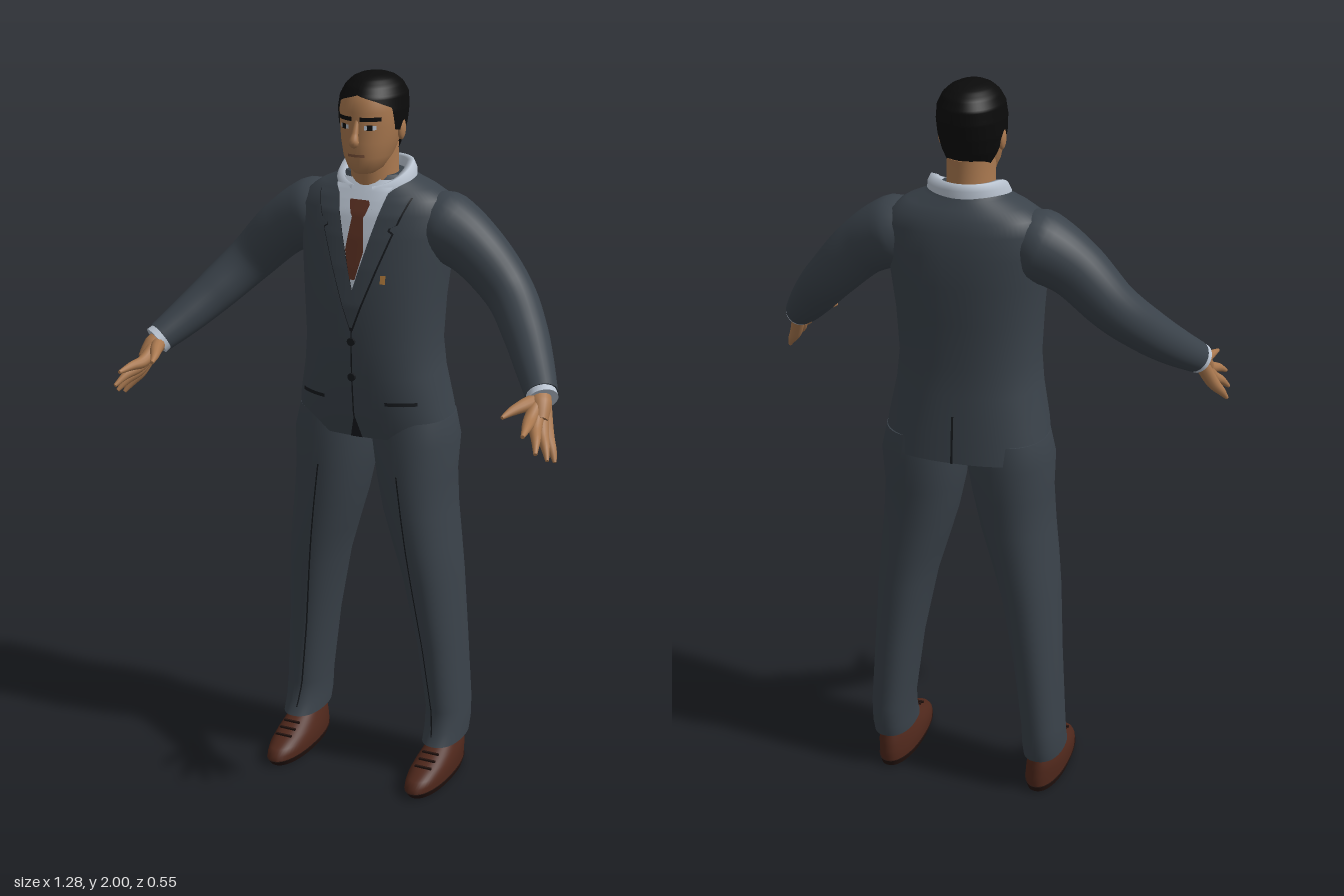
import * as THREE from 'three';

const mat = (name, color) => {
  const m = new THREE.MeshStandardMaterial({ color, side: THREE.DoubleSide });
  m.name = name;
  return m;
};

// Cross-section rows: [y, xCentre, halfWidth, zFront, zBack, roundness]
const TORSO = [
  [1.02, 0, .225, .01, -.272, 2.5], [1.1, 0, .214, .03, -.266, 2.5], [1.2, 0, .195, .04, -.257, 2.4],
  [1.28, 0, .187, .044, -.252, 2.4], [1.4, 0, .194, .042, -.256, 2.4], [1.5, 0, .205, .028, -.261, 2.4],
  [1.58, 0, .214, .012, -.26, 2.4], [1.64, 0, .216, -.004, -.252, 2.4], [1.675, 0, .2, -.02, -.243, 2.3],
  [1.7, 0, .16, -.032, -.228, 2.2], [1.72, 0, .115, -.042, -.215, 2], [1.735, 0, .095, -.05, -.207, 2]];
const HEAD = [
  [1.745, 0, .028, -.004, -.09, 2], [1.76, 0, .047, .011, -.11, 2], [1.79, 0, .062, .018, -.14, 2.1],
  [1.83, 0, .073, .019, -.165, 2.1], [1.87, 0, .08, .016, -.18, 2.1], [1.91, 0, .082, .017, -.19, 2.1],
  [1.945, 0, .078, .009, -.19, 2.1], [1.968, 0, .066, -.008, -.175, 2], [1.983, 0, .048, -.03, -.15, 2],
  [1.991, 0, .028, -.052, -.122, 2], [1.994, 0, .002, -.084, -.088, 2]];
const NECK = [[1.66, 0, .07, -.035, -.18, 2], [1.74, 0, .062, -.028, -.17, 2], [1.81, 0, .062, -.02, -.17, 2]];
const LEG = [
  [.105, .222, .055, -.016, -.215, 2.3], [.14, .222, .056, -.035, -.224, 2.3], [.2, .221, .057, -.046, -.228, 2.2],
  [.4, .202, .063, -.03, -.232, 2.2], [.6, .177, .077, -.004, -.235, 2.2], [.7, .158, .088, .005, -.237, 2.2],
  [.8, .138, .098, .01, -.24, 2.2], [.9, .124, .106, .012, -.246, 2.2], [1, .118, .117, .01, -.258, 2.2],
  [1.07, .112, .108, 0, -.25, 2.2]];
const SHOE = [
  [.014, .219, .053, .112, -.208, 2.2], [.032, .219, .054, .112, -.21, 2.2], [.048, .22, .053, .095, -.209, 2.2],
  [.064, .221, .05, .055, -.207, 2.2], [.08, .222, .045, .012, -.205, 2.2], [.1, .222, .037, -.038, -.2, 2.1]];
const SOLE = [[0, .219, .05, .1, -.204, 2.2], [.018, .219, .056, .116, -.212, 2.2]];
// Hairline: angle from the front at which the hair starts, by height
const HAIRLINE = [[1.785, 2.3], [1.82, 1.95], [1.85, 1.75], [1.862, 1.25], [1.92, 1.08], [1.94, .55], [1.952, 0]];

// Linear lookup in a table keyed by its first column
function sample(table, y) {
  if (y <= table[0][0]) return table[0];
  for (let i = 1; i < table.length; i++) {
    const a = table[i - 1], b = table[i];
    if (y <= b[0]) return a.map((v, k) => THREE.MathUtils.lerp(v, b[k], (y - a[0]) / (b[0] - a[0])));
  }
  return table[table.length - 1];
}

// Surface through rows of points; duplicated rows give sharp rims
function grid(rows, closed) {
  const n = rows[0].length, idx = [];
  for (let i = 0; i < rows.length - 1; i++)
    for (let j = 0; j < (closed ? n : n - 1); j++) {
      const k = (j + 1) % n, a = i * n + j, b = i * n + k;
      idx.push(a, b, b + n, a, b + n, a + n);
    }
  const g = new THREE.BufferGeometry();
  g.setAttribute('position', new THREE.Float32BufferAttribute(rows.flat(2), 3));
  g.setIndex(idx);
  g.computeVertexNormals();
  return g;
}

// Point at angle a (0 = front, rising towards +x) of a cross-section
function ringPoint([y, xc, w, zf, zb, n], a) {
  const p = v => Math.sign(v) * Math.abs(v) ** (2 / n);
  return [xc + w * p(Math.sin(a)), y, (zf + zb) / 2 + (zf - zb) / 2 * p(Math.cos(a))];
}

// Capped body made from cross-sections
function loft(table, seg = 64) {
  const rings = table.map(r => Array.from({ length: seg }, (_, j) => ringPoint(r, j / seg * Math.PI * 2)));
  const cap = r => Array(seg).fill([r[1], r[0], (r[3] + r[4]) / 2]);
  const last = rings.length - 1;
  return grid([cap(table[0]), rings[0], ...rings, rings[last], cap(table[last])], true);
}

// Thin plate lying on the front (side 1) or back (side -1) of a lofted body
function patch(table, y0, y1, left, right, off, side = 1, ny = 24, nx = 8) {
  const rows = [];
  for (let i = 0; i <= ny; i++) {
    const y = THREE.MathUtils.lerp(y0, y1, i / ny);
    const [, xc, w, zf, zb, n] = sample(table, y);
    rows.push(Array.from({ length: nx + 1 }, (_, j) => {
      const x = THREE.MathUtils.lerp(left(y), right(y), side > 0 ? j / nx : 1 - j / nx);
      const t = Math.min(1, Math.abs((x - xc) / w));
      return [x, y, (zf + zb) / 2 + side * ((zf - zb) / 2 * (1 - t ** n) ** (1 / n) + off)];
    }));
  }
  return grid(rows, false);
}

// Tapering limb along a smooth path, points [x, y, z, radius]
function limb(points, s, steps = 24, seg = 20) {
  const curve = new THREE.CatmullRomCurve3(points.map(p => new THREE.Vector3(p[0] * s, p[1], p[2])));
  const f = curve.computeFrenetFrames(steps), rows = [];
  for (let i = 0; i <= steps; i++) {
    const u = curve.getUtoTmapping(i / steps) * (points.length - 1);
    const k = Math.min(points.length - 2, Math.floor(u));
    const r = THREE.MathUtils.lerp(points[k][3], points[k + 1][3], u - k), c = curve.getPointAt(i / steps);
    rows.push(Array.from({ length: seg }, (_, j) => {
      const a = j / seg * Math.PI * 2;
      return c.clone().addScaledVector(f.normals[i], r * Math.cos(a)).addScaledVector(f.binormals[i], r * Math.sin(a)).toArray();
    }));
  }
  const end = t => Array(seg).fill(curve.getPointAt(t).toArray());
  return grid([end(0), rows[0], ...rows, rows[steps], end(1)], true);
}

export function createModel() {
  const model = new THREE.Group();
  const suit = mat('suit cloth', 0x3a424a), seam = mat('dark seam', 0x171a1e), skin = mat('skin', 0xa9784f);
  const hair = mat('black hair', 0x0b0b0b), shirt = mat('pale shirt', 0xb9c3d0), tieCloth = mat('brown tie', 0x5a3022);
  const leather = mat('brown leather', 0x4e271b), soleMat = mat('dark sole', 0x23130f);
  const gold = mat('gold pin', 0xb07a3c), lip = mat('lips', 0x7c5239);
  const add = (name, geo, m) => {
    const mesh = new THREE.Mesh(geo, m);
    mesh.name = name;
    model.add(mesh);
    return mesh;
  };
  const c = v => () => v;

  // Jacket, shirt front and tie
  add('jacket', loft(TORSO, 72), suit);
  const vee = y => Math.max(0, .07 * (y - 1.44) / .25);
  add('shirtFront', patch(TORSO, 1.44, 1.725, y => -vee(y), vee, .006), shirt);
  const tie = y => Math.min(vee(y) * .9, y > 1.635 ? .02 + (y - 1.635) * .3 : .016 + (1.635 - y) * .12);
  add('tie', patch(TORSO, 1.47, 1.675, y => -tie(y), tie, .01), tieCloth);
  const lapel = y => .118 * (y - 1.33) / .32 * (y > 1.6 && y < 1.612 ? .86 : 1);
  for (const s of [1, -1]) {
    const side = (a, b) => s > 0 ? [a, b] : [y => -b(y), y => -a(y)];
    add('lapelEdge', patch(TORSO, 1.33, 1.685, ...side(y => Math.max(0, vee(y) - .004), y => lapel(y) + .004), .004, 1, 48), seam);
    add('lapel', patch(TORSO, 1.34, 1.69, ...side(vee, lapel), .008, 1, 48), suit);
    add('pocketFlapEdge', patch(TORSO, 1.125, 1.135, ...side(c(.09), c(.17)), .004), seam);
  }
  add('frontOpening', patch(TORSO, 1.02, 1.34, c(-.002), c(.002), .004), seam);
  add('frontVent', patch(TORSO, 1.02, 1.09, y => -.25 * (1.09 - y), y => .25 * (1.09 - y), .003), seam);
  add('backVent', patch(TORSO, 1.02, 1.15, c(-.003), c(.003), .003, -1), seam);
  add('lapelPin', patch(TORSO, 1.465, 1.488, c(.078), c(.092), .0095), gold);
  for (const y of [1.2, 1.3]) {
    const b = add('jacketButton', new THREE.CylinderGeometry(.011, .011, .008, 16).rotateX(Math.PI / 2), seam);
    b.position.set(0, y, sample(TORSO, y)[3] + .004);
  }

  // Shirt collar: a band folded outwards, lower at the front
  const band = (w, d, lift) => Array.from({ length: 49 }, (_, j) => {
    const a = .3 + j / 48 * (Math.PI * 2 - .6), back = (1 - Math.cos(a)) / 2;
    return [w * Math.sin(a), 1.705 + .055 * Math.min(1, back * 1.6) + lift, -.112 + d * Math.cos(a)];
  });
  add('collar', grid([band(.11, .1, -.04), band(.108, .1, -.015), band(.098, .096, .004), band(.08, .084, 0), band(.074, .08, -.04)], false), shirt);
  for (const s of [1, -1]) {
    const inner = y => .012 + (1.705 - y) * .5, outer = y => .03 + (y - 1.645) * .8;
    const edges = s > 0 ? [inner, outer] : [y => -outer(y), y => -inner(y)];
    add('collarPoint', patch(TORSO, 1.65, 1.71, ...edges, .015), shirt);
  }

  // Head and face
  add('neck', loft(NECK, 40), skin);
  add('head', loft(HEAD, 56), skin);
  add('nose', limb([[0, 1.89, .01, .006], [0, 1.855, .024, .009], [0, 1.834, .03, .014], [0, 1.826, .022, .009]], 1), skin);
  add('mouth', patch(HEAD, 1.794, 1.801, c(-.024), c(.024), .003), lip);
  for (const s of [1, -1]) {
    const span = (a, b) => s > 0 ? [c(a), c(b)] : [c(-b), c(-a)];
    add('eyebrow', patch(HEAD, 1.888, 1.899, ...span(.012, .06), .004), hair);
    add('eye', patch(HEAD, 1.866, 1.877, ...span(.022, .05), .003), shirt);
    add('pupil', patch(HEAD, 1.865, 1.879, ...span(.03, .043), .005), hair);
    const ear = add('ear', new THREE.SphereGeometry(1, 16, 12), skin);
    ear.scale.set(.01, .03, .017);
    ear.position.set(s * .08, 1.857, -.092);
  }

  // Hair shell following the hairline
  const hairRows = [];
  for (let i = 0; i <= 60; i++) {
    const y = 1.785 + (1.994 - 1.785) * i / 60;
    const [, xc, w, zf, zb, n] = sample(HEAD, y), a0 = sample(HAIRLINE, y)[1];
    const r = [y + .006 * Math.max(0, (y - 1.94) / .054), xc, w + .006, zf + .005, zb - .013, n];
    hairRows.push(Array.from({ length: 57 }, (_, j) => ringPoint(r, a0 + j / 56 * (Math.PI * 2 - 2 * a0))));
  }
  hairRows.push(Array(57).fill([0, 2, -.09]));
  add('hair', grid(hairRows, false), hair);

  for (const s of [1, -1]) {
    const mirrored = t => t.map(r => [r[0], r[1] * s, ...r.slice(2)]);

    // Arm, cuff and hand
    add('sleeve', limb([[.12, 1.61, -.135, .07], [.19, 1.597, -.132, .097], [.28, 1.548, -.126, .08], [.385, 1.445, -.112, .067],
      [.46, 1.362, -.045, .06], [.515, 1.3, .025, .052], [.562, 1.25, .092, .043]], s, 40, 28), suit);
    add('shirtCuff', limb([[.545, 1.268, .07, .038], [.57, 1.241, .104, .041]], s, 4), shirt);
    add('wrist', limb([[.55, 1.262, .075, .028], [.57, 1.232, .118, .029], [.582, 1.2, .15, .02]], s), skin);
    const fingers = [
      [[.563, 1.242, .11], [.566, 1.205, .185], [.576, 1.203, .23], [.585, 1.198, .277]],
      [[.567, 1.237, .11], [.581, 1.188, .178], [.599, 1.172, .22], [.613, 1.15, .258]],
      [[.57, 1.234, .107], [.594, 1.17, .162], [.614, 1.148, .192], [.63, 1.122, .218]],
      [[.572, 1.234, .1], [.602, 1.158, .142], [.621, 1.13, .16], [.635, 1.105, .176]],
      [[.557, 1.24, .11], [.538, 1.236, .16], [.522, 1.23, .195], [.51, 1.222, .23]]];
    for (const f of fingers)
      add('finger', limb(f.map((p, i) => [...p, [.02, .017, .012, .005][i]]), s, 16, 12), skin);

    // Leg and shoe
    const leg = mirrored(LEG), crease = y => s * (.215 - (y - .13) * .122);
    add('trouserLeg', loft(leg, 48), suit);
    add('trouserCrease', patch(leg, .13, .92, y => crease(y) - .002, y => crease(y) + .002, .003, 1, 40, 2), seam);
    const ankle = add('ankle', new THREE.CylinderGeometry(.034, .034, .08, 20), skin);
    ankle.position.set(s * .222, .1, -.13);
    ankle.scale.z = 1.3;
    const shoe = mirrored(SHOE);
    add('shoe', loft(shoe, 48), leather);
    add('shoeSole', loft(mirrored(SOLE), 48), soleMat);
    for (let i = 0; i < 3; i++) {
      const lace = add('shoeLace', new THREE.BoxGeometry(.05, .005, .007), soleMat);
      lace.position.set(s * .222, .07 + i * .01, .042 - i * .026);
    }
  }
  return model;
}
